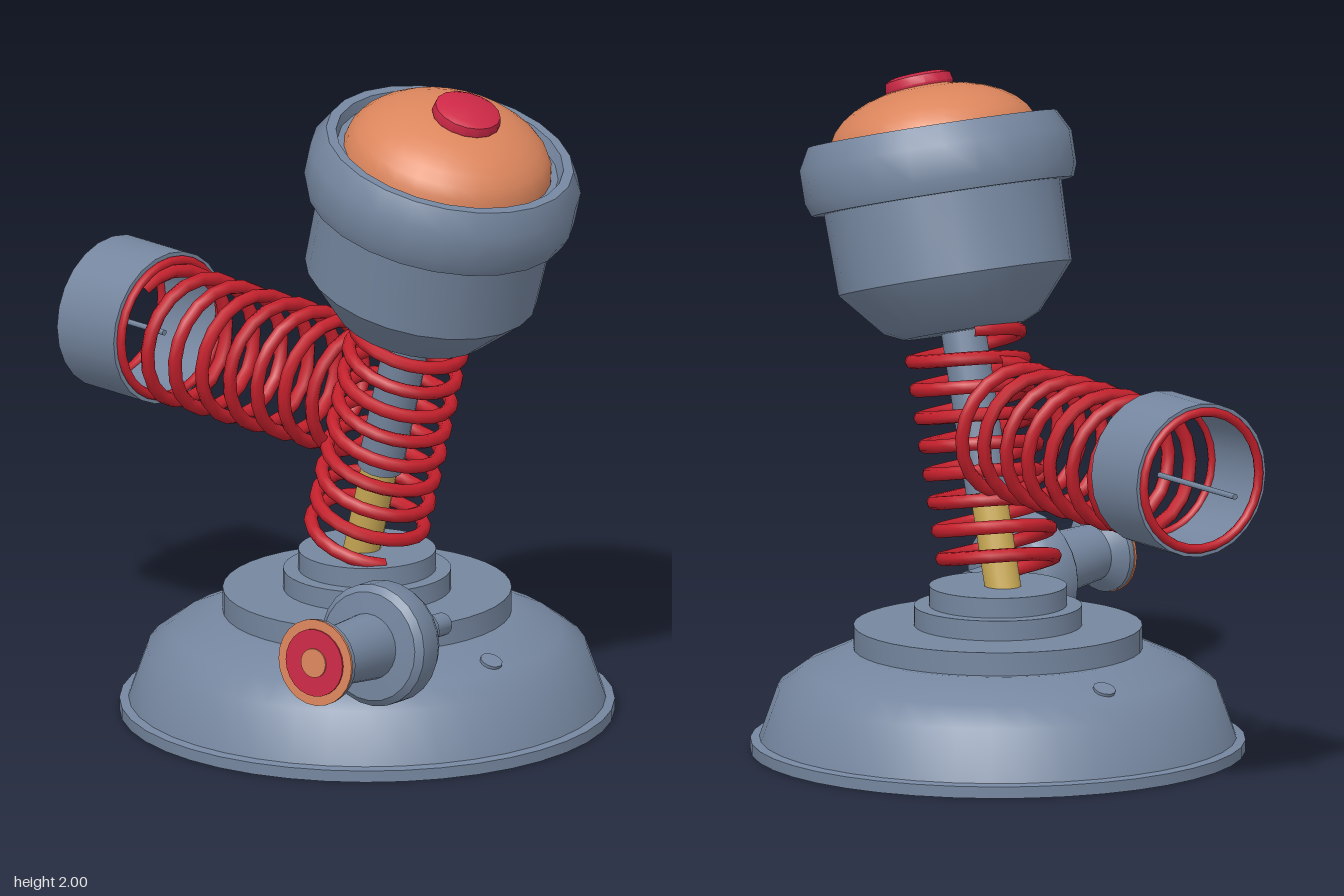
import * as THREE from 'three';
import { toCreasedNormals } from 'three/addons/utils/BufferGeometryUtils.js';

const paint = (name, color, side = THREE.FrontSide) => {
  const m = new THREE.MeshStandardMaterial({ color, side });
  m.name = name;
  return m;
};

// Helix that runs up the y axis
class Helix extends THREE.Curve {
  constructor(radius, y0, y1, turns, phase = 0) {
    super();
    Object.assign(this, { radius, y0, y1, turns, phase });
  }
  getPoint(t, target = new THREE.Vector3()) {
    const a = this.phase + t * this.turns * Math.PI * 2;
    return target.set(Math.cos(a) * this.radius, this.y0 + (this.y1 - this.y0) * t, Math.sin(a) * this.radius);
  }
}

export function createModel() {
  const steel = paint('steel blue', 0x75869f, THREE.DoubleSide);
  const red = paint('spring red', 0xc4202c);
  const crimson = paint('button crimson', 0xcc2846);
  const orange = paint('dome orange', 0xdb855c);
  const gold = paint('gold', 0xc9a955);

  const model = new THREE.Group();
  const group = (name, x, y, z) => {
    const g = new THREE.Group();
    g.name = name;
    g.position.set(x, y, z);
    model.add(g);
    return g;
  };
  const add = (parent, name, geometry, material, x = 0, y = 0, z = 0) => {
    const mesh = new THREE.Mesh(geometry, material);
    mesh.name = name;
    mesh.position.set(x, y, z);
    parent.add(mesh);
    return mesh;
  };
  const lathe = (profile, sides = 32) => toCreasedNormals(
    new THREE.LatheGeometry(profile.map(([r, y]) => new THREE.Vector2(r, y)), sides), 0.65);
  const rod = (r, y0, y1, sides = 16) => new THREE.CylinderGeometry(r, r, y1 - y0, sides).translate(0, (y0 + y1) / 2, 0);
  const spring = (radius, y0, y1, turns, phase) =>
    new THREE.TubeGeometry(new Helix(radius, y0, y1, turns, phase), Math.round(turns * 20), 0.021, 7);

  // Stepped foot
  const base = group('base', 0.265, 0, -0.025);
  add(base, 'foot', lathe([
    [0, 0], [0.737, 0], [0.737, 0.035], [0.71, 0.04], [0.655, 0.195], [0.58, 0.25], [0.45, 0.31],
    [0.43, 0.31], [0.43, 0.38], [0.25, 0.38], [0.25, 0.44], [0.205, 0.44], [0.205, 0.5], [0, 0.5],
  ], 40), steel);
  // Small studs on both sides
  for (const side of [-1, 1]) {
    const stud = new THREE.Group();
    stud.name = 'stud';
    stud.position.set(side * 0.535, 0.255, 0.015);
    stud.rotation.z = -side * 0.4;
    add(stud, 'studStem', rod(0.015, -0.03, 0.015, 10), steel);
    add(stud, 'studCap', rod(0.034, 0, 0.022, 12), steel);
    base.add(stud);
  }

  // Tilted column with its spring and head
  const arm = group('arm', 0.25, 0.5, -0.018);
  arm.rotation.z = -0.275;
  add(arm, 'lowerColumn', rod(0.055, -0.03, 0.3), gold);
  add(arm, 'upperColumn', rod(0.068, 0.28, 0.8), steel);
  add(arm, 'columnSpring', spring(0.168, 0.04, 0.76, 8.5, 0.4), red);
  add(arm, 'headCup', lathe([
    [0, 0.765], [0.18, 0.765], [0.235, 0.79], [0.352, 0.925], [0.358, 1.17], [0.395, 1.17], [0.41, 1.21],
    [0.41, 1.31], [0.375, 1.375], [0.345, 1.375], [0.335, 1.34], [0, 1.34],
  ], 24), steel);
  const dome = [];
  for (let i = 0; i <= 8; i++) {
    const a = (i / 8) * Math.PI / 2;
    dome.push([0.315 * Math.cos(a), 1.34 + 0.17 * Math.sin(a)]);
  }
  add(arm, 'headDome', lathe(dome, 28), orange);
  const button = add(arm, 'headButton', lathe([
    [0, -0.03], [0.095, -0.03], [0.105, -0.01], [0.1, 0.015], [0.08, 0.025], [0, 0.028],
  ], 16), crimson, 0.035, 1.515, 0);
  button.rotation.z = -0.08;

  // Sideways spring ending in an open sleeve; local y points to -x
  const sideArm = group('sideArm', 0, 0.985, -0.03);
  sideArm.rotation.z = Math.PI / 2;
  add(sideArm, 'sideSpring', spring(0.193, -0.25, 0.575, 7.1, 0), red);
  const sleeve = group('sleeve', 0, 0.998, -0.03);
  sleeve.rotation.z = Math.PI / 2;
  add(sleeve, 'sleeveShell', lathe([
    [0.208, 0.58], [0.232, 0.58], [0.232, 0.82], [0.208, 0.82], [0.208, 0.58],
  ], 24), steel);
  for (const y of [0.575, 0.82])
    add(sleeve, 'sleeveRing', new THREE.TorusGeometry(0.207, 0.014, 8, 28).rotateX(Math.PI / 2), red, 0, y, 0);
  add(sleeve, 'pin', rod(0.009, 0.6, 1.0, 8), steel, -0.02, 0, 0);

  // Plunger leaning on the foot; local y points forward
  const plunger = group('plunger', 0.75, 0.405, 0.385);
  plunger.quaternion.setFromUnitVectors(new THREE.Vector3(0, 1, 0), new THREE.Vector3(0.07, 0.028, 0.35).normalize());
  add(plunger, 'plungerBody', lathe([
    [0, -0.08], [0.12, -0.075], [0.165, -0.055], [0.185, -0.02], [0.185, 0.055], [0.165, 0.075],
    [0.1, 0.08], [0.085, 0.3], [0.128, 0.335], [0.128, 0.355], [0, 0.355],
  ], 24), steel);
  add(plunger, 'plungerNeck', lathe([
    [0, -0.315], [0.035, -0.315], [0.035, -0.24], [0.028, -0.235], [0.028, -0.215], [0.058, -0.215],
    [0.058, -0.15], [0.035, -0.14], [0.035, -0.07],
  ], 14), steel);
  // Target rings on the plunger face
  [[0.131, orange], [0.102, crimson], [0.044, orange]].forEach(([r, material], i) =>
    add(plunger, 'faceRing', rod(r, 0.353 + i * 0.005, 0.361 + i * 0.005, 24), material));

  return model;
}
